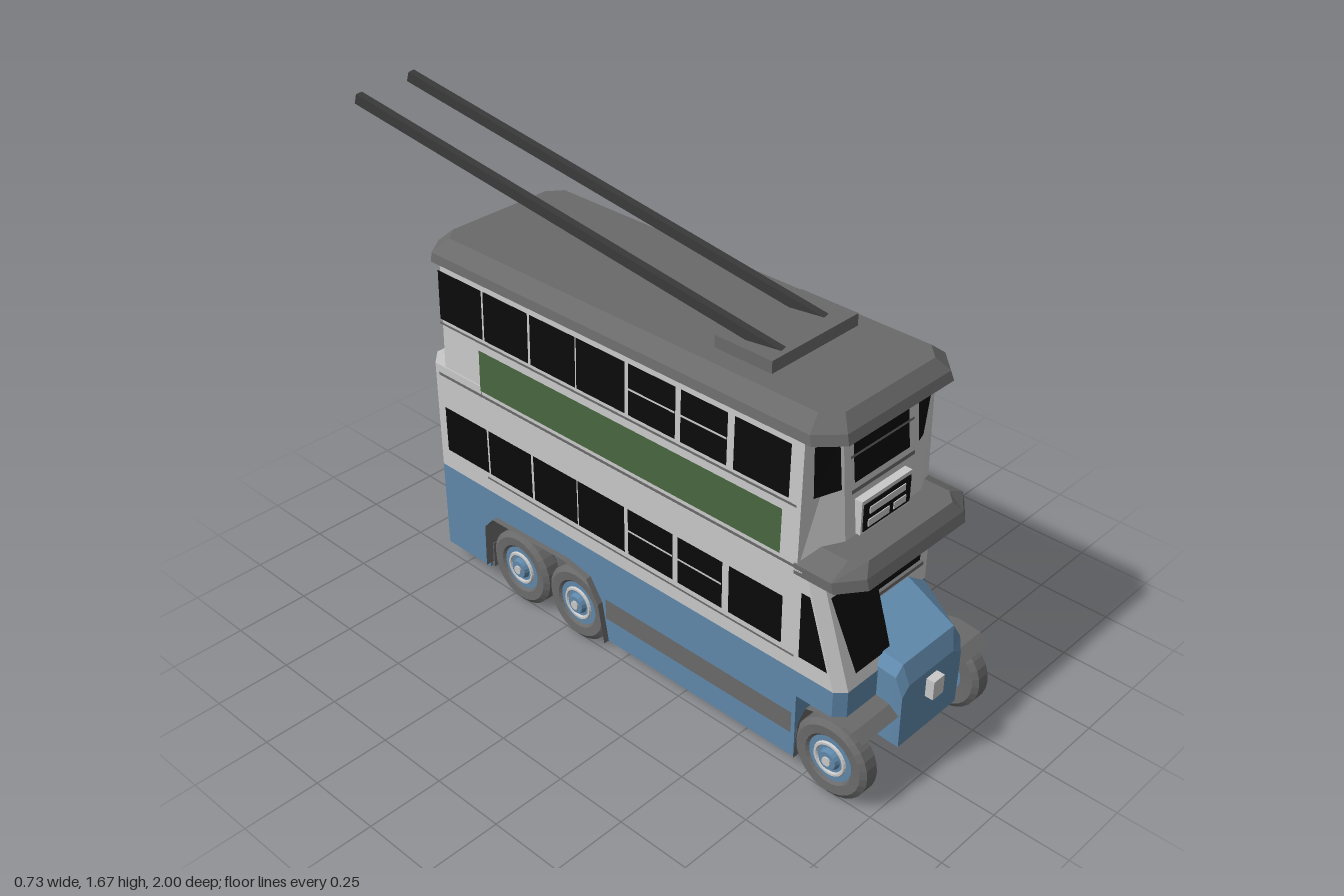
import * as THREE from 'three';

const mat = (name, color) => {
  const m = new THREE.MeshStandardMaterial({ color, side: THREE.DoubleSide, flatShading: true });
  m.name = name;
  return m;
};

export function createModel() {
  const root = new THREE.Group();
  const white = mat('offWhite', 0xc8c8c8), blue = mat('blue', 0x5f88aa), grey = mat('grey', 0x6a6a6a);
  const black = mat('black', 0x0a0a0a), red = mat('red', 0x8f2323), green = mat('green', 0x48653f);
  const dark = mat('darkGrey', 0x3c3c3c);
  const CX = 0.04; // body centre line

  const add = (name, geo, m, parent = root) => {
    const mesh = new THREE.Mesh(geo, m);
    mesh.name = name;
    parent.add(mesh);
    return mesh;
  };
  const box = (name, m, x0, x1, y0, y1, z0, z1) => {
    const mesh = add(name, new THREE.BoxGeometry(x1 - x0, y1 - y0, z1 - z0), m);
    mesh.position.set((x0 + x1) / 2, (y0 + y1) / 2, (z0 + z1) / 2);
    return mesh;
  };
  // skin between matching rings of points; closed rings also get end caps
  const loft = (name, m, rings, open = false) => {
    const n = rings[0].length, pos = [];
    const tri = (...p) => p.forEach(q => pos.push(...q));
    for (let i = 0; i + 1 < rings.length; i++) {
      for (let j = 0; j < (open ? n - 1 : n); j++) {
        const k = (j + 1) % n, [a, b, c, d] = [rings[i][j], rings[i][k], rings[i + 1][k], rings[i + 1][j]];
        tri(a, b, c); tri(a, c, d);
      }
    }
    if (!open) {
      const lo = rings[0], hi = rings[rings.length - 1];
      for (let j = 1; j < n - 1; j++) { tri(lo[0], lo[j + 1], lo[j]); tri(hi[0], hi[j], hi[j + 1]); }
    }
    const g = new THREE.BufferGeometry();
    g.setAttribute('position', new THREE.Float32BufferAttribute(pos, 3));
    g.computeVertexNormals();
    return add(name, g, m);
  };
  // plan outline at height y with cut corners: f = front cut, r = rear cut
  const ring = (y, x0, x1, z0, z1, f, r) => [
    [x1 - f[0], y, z1], [x1, y, z1 - f[1]], [x1, y, z0 + r[1]], [x1 - r[0], y, z0],
    [x0 + r[0], y, z0], [x0, y, z0 + r[1]], [x0, y, z1 - f[1]], [x0 + f[0], y, z1]];
  const quad = (name, m, a, b, c, d) => loft(name, m, [[a, b], [d, c]], true);
  const sheet = (name, m, x0, x1, profile) =>
    loft(name, m, [x0, x1].map(x => profile.map(([z, y]) => [x, y, z])), true);

  // ---- lower deck side walls, with a cut-out for the twin rear wheels
  const wall = (name, m, x, pts) => {
    const g = new THREE.ExtrudeGeometry(new THREE.Shape(pts.map(p => new THREE.Vector2(...p))),
      { depth: 0.012, bevelEnabled: false });
    g.rotateY(-Math.PI / 2);
    add(name, g, m).position.x = x;
  };
  const arch = [[-0.6, 0.24], [-0.56, 0.285], [-0.22, 0.295], [-0.12, 0.275], [-0.07, 0.2], [-0.045, 0.06]];
  wall('leftLowerPanel', blue, 0.34, [[0.72, 0.06], [0.72, 0.38], [-0.59, 0.38], [-0.59, 0.25], ...arch.slice(1)]);
  wall('rightLowerPanel', blue, -0.248, [[0.72, 0.06], [0.72, 0.38], [-0.82, 0.38], [-0.82, 0.06], [-0.61, 0.06], ...arch]);
  wall('leftWindowPanel', white, 0.34, [[0.72, 0.38], [0.72, 0.73], [-0.59, 0.73], [-0.59, 0.38]]);
  wall('rightWindowPanel', white, -0.248, [[0.72, 0.38], [0.72, 0.73], [-0.82, 0.73], [-0.82, 0.38]]);
  box('frontBulkheadLower', blue, -0.25, 0.33, 0.1, 0.38, 0.705, 0.72);
  box('frontBulkheadUpper', white, -0.25, 0.33, 0.38, 0.73, 0.705, 0.72);

  // ---- rear wall wrapping round the open platform
  const rear = [[0.34, -0.8], [0.34, -0.82], [0.29, -0.87], [-0.21, -0.87], [-0.26, -0.82], [-0.26, -0.8]];
  const rearWall = (name, m, y0, y1) =>
    loft(name, m, [y0, y1].map(y => rear.map(([x, z]) => [x, y, z])), true);
  rearWall('rearLowerPanel', blue, 0.1, 0.38);
  rearWall('rearWindowPanel', white, 0.38, 0.73);
  loft('rearShelf', white, [0.72, 0.77].map(y => ring(y, -0.26, 0.34, -0.87, -0.6, [0, 0], [0.05, 0.05])));
  loft('rearPlatform', grey, [
    ring(0.06, -0.25, 0.34, -0.855, -0.6, [0, 0], [0.04, 0.04]),
    ring(0.1, -0.25, 0.345, -0.868, -0.6, [0, 0], [0.04, 0.04]),
    ring(0.155, -0.25, 0.345, -0.865, -0.6, [0, 0], [0.04, 0.04])]);
  box('platformPost', white, 0.31, 0.33, 0.15, 0.73, -0.74, -0.72);

  // ---- upper deck, roof and front canopy
  const halfWidth = y => (y < 0.72 ? 0.3 : 0.297 - (y - 0.72) * 0.025);
  const noseZ = y => 0.765 - (y - 0.72) * 0.1;
  loft('upperDeck', white, [0.72, 1.15].map(y => ring(y, CX - halfWidth(y), CX + halfWidth(y),
    -0.825, noseZ(y), [0.13, noseZ(y) - 0.7], [0.05, 0.05])));
  loft('roof', grey, [
    ring(1.14, -0.26, 0.34, -0.85, 0.8, [0.07, 0.07], [0.07, 0.05]),
    ring(1.17, -0.255, 0.335, -0.85, 0.79, [0.07, 0.07], [0.07, 0.05]),
    ring(1.21, -0.205, 0.285, -0.81, 0.755, [0.05, 0.05], [0.05, 0.04])]);
  loft('canopy', grey, [
    ring(0.712, -0.26, 0.34, 0.69, 0.89, [0.08, 0.06], [0, 0]),
    ring(0.745, -0.26, 0.34, 0.69, 0.88, [0.08, 0.06], [0, 0]),
    ring(0.782, -0.19, 0.27, 0.69, 0.86, [0.04, 0.04], [0, 0])]);

  // ---- side windows, adverts, rails and stripes
  const side = (name, m, s, z0, z1, y0, y1, lift = 0.005) => {
    const x = y => CX + s * (halfWidth(y) + lift);
    quad(name, m, [x(y0), y0, z0], [x(y0), y0, z1], [x(y1), y1, z1], [x(y1), y1, z0]);
  };
  const bays = [[0.66, 0.46], [0.435, 0.26], [0.24, 0.055], [0.04, -0.16], [-0.165, -0.36], [-0.37, -0.57], [-0.578, -0.78]];
  for (const s of [1, -1]) {
    bays.forEach(([a, b], i) => {
      side('upperWindow', black, s, a, b, 0.945, 1.115);
      const lower = s < 0 || i < 4 || i === 5;
      if (lower) side('lowerWindow', black, s, a, b, 0.455, 0.62);
      if (i === 1 || i === 2) {
        side('upperWindowBar', white, s, a, b, 1.03, 1.037, 0.008);
        side('lowerWindowBar', white, s, a, b, 0.54, 0.547, 0.008);
      }
    });
    side('upperSill', grey, s, 0.69, -0.78, 0.928, 0.936, 0.007);
    side('lowerSill', grey, s, 0.71, -0.585, 0.433, 0.44, 0.007);
    side('deckRail', grey, s, 0.7, s > 0 ? -0.59 : -0.8, 0.735, 0.745, 0.007);
    side('sideStripe', grey, s, 0.71, -0.05, 0.15, 0.225);
  }
  side('redAdvert', red, 1, 0.585, -0.5, 0.755, 0.9);
  side('greenAdvert', green, -1, 0.64, -0.6, 0.755, 0.9);
  side('sideRouteBoard', black, 1, -0.565, -0.775, 0.755, 0.9);
  for (const [a, b, y0, y1] of [[-0.59, -0.755, 0.84, 0.87], [-0.59, -0.66, 0.775, 0.815], [-0.685, -0.755, 0.775, 0.815]])
    side('sideRouteSlot', white, 1, a, b, y0, y1, 0.009);

  // ---- upper front windows and route box
  const frontZ = (x, y) => {
    const d = Math.abs(x - CX), inner = halfWidth(y) - 0.13;
    return d < inner ? noseZ(y) : THREE.MathUtils.lerp(noseZ(y), 0.7, (d - inner) / 0.13);
  };
  const front = (name, m, x0, x1, y0, y1, lift = 0.006) => {
    const p = (x, y) => [x, y, frontZ(x, y) + lift];
    quad(name, m, p(x0, y0), p(x1, y0), p(x1, y1), p(x0, y1));
  };
  front('frontWindow', black, -0.085, 0.16, 0.95, 1.11);
  front('cornerWindow', black, -0.22, -0.135, 0.95, 1.11);
  front('cornerWindow', black, 0.205, 0.295, 0.95, 1.11);
  front('frontWindowBar', grey, -0.105, 0.175, 1.035, 1.043, 0.012);
  front('frontWindowSill', grey, -0.105, 0.175, 0.925, 0.937, 0.012);
  box('routeBox', white, -0.08, 0.145, 0.785, 0.895, 0.74, 0.774);
  box('routeBoard', black, -0.072, 0.137, 0.795, 0.882, 0.772, 0.778);
  for (const [a, b, y0, y1] of [[-0.05, 0.11, 0.846, 0.868], [-0.055, 0.04, 0.805, 0.828], [0.06, 0.115, 0.805, 0.828]])
    box('routeSlot', white, a, b, y0, y1, 0.776, 0.781);

  // ---- rear windows and panel, with clipped corners
  const rearPlate = (name, m, y0, y1, z, c) => {
    const [a, b] = [-0.17, 0.27];
    const pts = [[a + c, y0], [b - c, y0], [b, y0 + c], [b, y1 - c], [b - c, y1], [a + c, y1], [a, y1 - c], [a, y0 + c]];
    add(name, new THREE.ShapeGeometry(new THREE.Shape(pts.map(p => new THREE.Vector2(...p)))), m).position.z = z;
  };
  rearPlate('rearUpperWindow', black, 0.92, 1.115, -0.831, 0.025);
  rearPlate('rearLowerWindow', black, 0.44, 0.64, -0.876, 0.025);
  rearPlate('rearAdvert', red, 0.125, 0.28, -0.876, 0);
  box('tailLamp', red, -0.115, -0.09, 0.3, 0.325, -0.88, -0.868);

  // ---- half cab beside the bonnet
  const cabZ = y => 0.88 - (y - 0.38) * 0.32;
  const cabRing = y => ring(y, -0.26, 0, 0.71, cabZ(y), [0.03, 0.03], [0, 0]);
  loft('cab', white, [cabRing(0.38), cabRing(0.72)]);
  loft('cabBase', blue, [0.29, 0.38].map(y => ring(y, -0.26, 0, 0.71, 0.88, [0.03, 0.03], [0, 0])));
  box('cabFootwell', blue, -0.19, 0, 0.15, 0.3, 0.71, 0.86);
  const cp = (x, y) => [x, y, cabZ(y) + 0.005];
  quad('windscreen', black, cp(-0.19, 0.42), cp(-0.035, 0.42), cp(-0.032, 0.66), cp(-0.222, 0.66));
  for (const x of [0.004, -0.264])
    quad('cabSideWindow', black, [x, 0.44, 0.725], [x, 0.44, 0.828], [x, 0.665, 0.756], [x, 0.665, 0.725]);
  const corner = y => [[-0.001, y, cabZ(y) - 0.022], [-0.022, y, cabZ(y) - 0.001]].map(([x, h, z]) => [x + 0.004, h, z + 0.004]);
  loft('cabCornerWindow', black, [corner(0.44), corner(0.66)], true);
  box('bulkheadWindow', black, 0.045, 0.295, 0.475, 0.645, 0.719, 0.726);
  box('bulkheadSill', grey, 0.035, 0.305, 0.455, 0.468, 0.719, 0.732);

  // ---- bonnet, narrowing towards the radiator
  const bonnet = (z, pts) => pts.map(([x, y]) => [x, y, z]);
  loft('bonnet', blue, [
    bonnet(0.72, [[0.2, 0.15], [0.2, 0.29], [0.34, 0.29], [0.34, 0.37], [0.25, 0.435], [-0.06, 0.435], [-0.09, 0.4], [-0.09, 0.15]]),
    bonnet(0.945, [[0.18, 0.15], [0.18, 0.28], [0.21, 0.3], [0.21, 0.36], [0.17, 0.42], [-0.07, 0.42], [-0.1, 0.39], [-0.1, 0.15]]),
    bonnet(0.972, [[0.175, 0.15], [0.178, 0.26], [0.18, 0.29], [0.18, 0.33], [0.14, 0.36], [-0.07, 0.36], [-0.1, 0.33], [-0.1, 0.15]])]);
  box('headlamp', white, 0.013, 0.063, 0.27, 0.335, 0.965, 1.0);

  // ---- full-width mudguards
  sheet('frontMudguard', grey, -0.265, 0.345,
    [[0.965, 0.26], [0.93, 0.285], [0.85, 0.293], [0.76, 0.27], [0.735, 0.2], [0.724, 0.06]]);
  sheet('rearMudguard', grey, -0.28, 0.36, [[-0.605, 0.08], ...arch]);

  // ---- wheels
  const tyre = [[0.07, -0.032], [0.115, -0.035], [0.132, -0.022], [0.132, 0.022], [0.115, 0.035], [0.085, 0.033], [0.07, 0.018]];
  const tyreGeo = new THREE.LatheGeometry(tyre.map(p => new THREE.Vector2(...p)), 28);
  const discGeo = new THREE.CylinderGeometry(0.082, 0.082, 0.05, 24);
  const ringGeo = new THREE.TorusGeometry(0.052, 0.007, 6, 24).rotateX(Math.PI / 2);
  const hubGeo = new THREE.CylinderGeometry(0.03, 0.038, 0.02, 16);
  const capGeo = new THREE.CylinderGeometry(0.015, 0.015, 0.012, 12);
  for (const s of [1, -1]) for (const z of [0.85, -0.185, -0.455]) {
    const w = new THREE.Group();
    w.name = z > 0 ? 'frontWheel' : 'rearWheel';
    add('tyre', tyreGeo, grey, w);
    add('wheelDisc', discGeo, blue, w);
    add('wheelRing', ringGeo, white, w).position.y = 0.026;
    add('hub', hubGeo, blue, w).position.y = 0.03;
    add('hubCap', capGeo, white, w).position.y = 0.04;
    w.rotation.z = -s * Math.PI / 2;
    w.position.set(CX + s * 0.27, 0.133, z);
    root.add(w);
  }

  // ---- current collector base and its two swung poles
  box('poleBase', grey, -0.14, 0.23, 1.2, 1.25, 0.28, 0.49);
  for (const [a, b] of [[[-0.07, 1.235, 0.465], [-0.352, 1.66, -0.965]], [[0.155, 1.235, 0.43], [-0.13, 1.66, -0.995]]]) {
    const p = new THREE.Vector3(...a), q = new THREE.Vector3(...b);
    const pole = add('collectorPole', new THREE.BoxGeometry(0.026, 0.032, p.distanceTo(q)), dark);
    pole.position.copy(p).lerp(q, 0.5);
    pole.lookAt(q);
  }
  return root;
}
